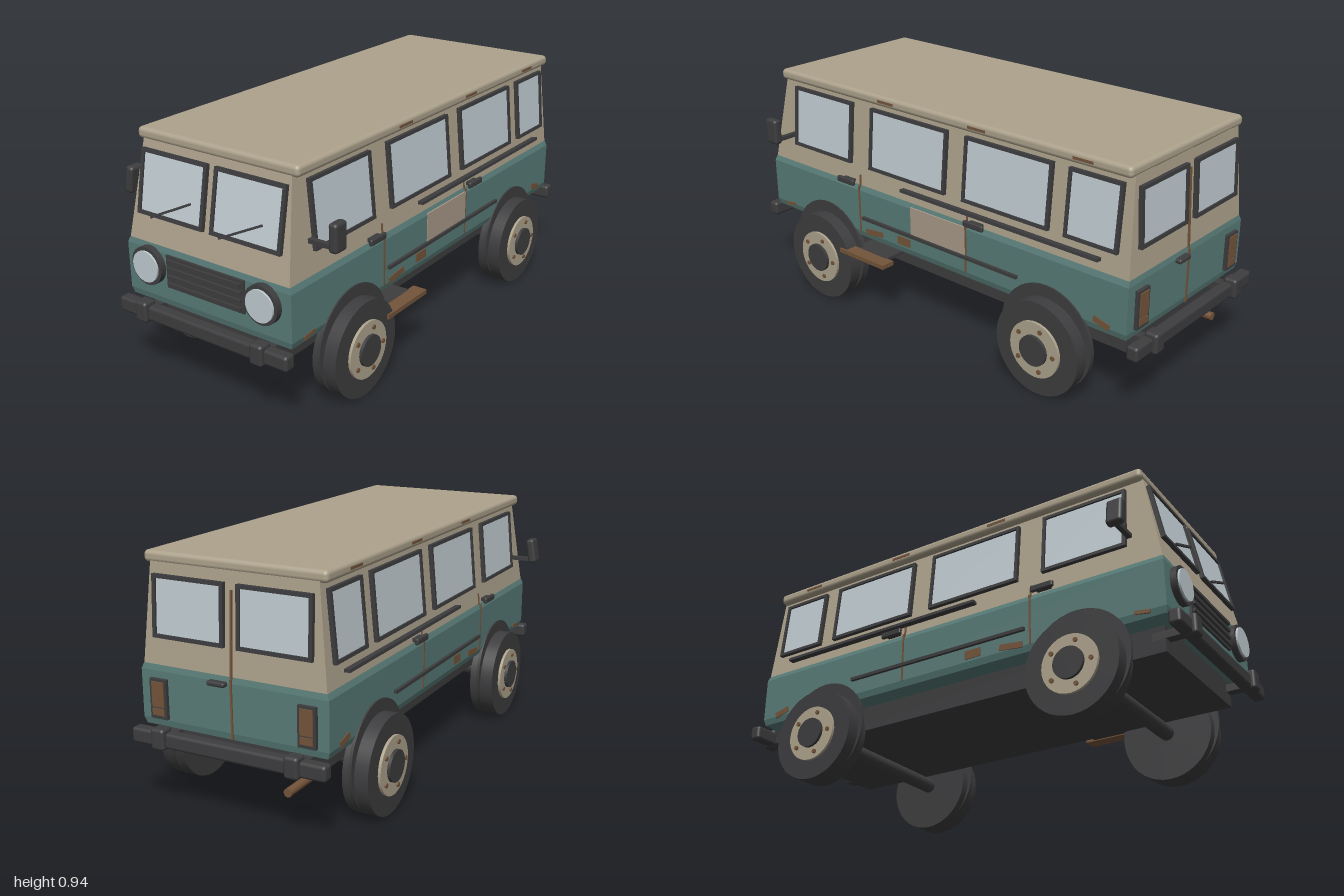
import * as THREE from 'three';
import { RoundedBoxGeometry } from 'three/addons/geometries/RoundedBoxGeometry.js';

const material = (name, color, extra = {}) => {
  const m = new THREE.MeshStandardMaterial({ color, ...extra });
  m.name = name;
  return m;
};

export function createModel() {
  const beige = material('beige paint', 0xada28c);
  const teal = material('teal paint', 0x587b77);
  const dark = material('dark rubber', 0x3d3d3f);
  const rust = material('rust brown', 0x74543a);
  const glass = material('pale glass', 0xc0cbd1);
  const primer = material('primer patch', 0xa89a88);

  const van = new THREE.Group();
  van.name = 'van';

  const add = (parent, name, geo, mat, x = 0, y = 0, z = 0) => {
    const mesh = new THREE.Mesh(geo, mat);
    mesh.name = name;
    mesh.position.set(x, y, z);
    parent.add(mesh);
    return mesh;
  };
  const box = (parent, name, mat, w, h, d, x, y, z) =>
    add(parent, name, new THREE.BoxGeometry(w, h, d), mat, x, y, z);
  const rounded = (parent, name, mat, w, h, d, x, y, z, r = 0.012) =>
    add(parent, name, new RoundedBoxGeometry(w, h, d, 2, r), mat, x, y, z);
  const group = (parent, name, x = 0, y = 0, z = 0, ry = 0, rx = 0) => {
    const g = new THREE.Group();
    g.name = name;
    g.position.set(x, y, z);
    g.rotation.set(rx, ry, 0);
    parent.add(g);
    return g;
  };
  // Cylinder lying along z
  const disc = (parent, name, mat, r, depth, x, y, z, sides = 32) => {
    const m = add(parent, name, new THREE.CylinderGeometry(r, r, depth, sides), mat, x, y, z);
    m.rotation.x = Math.PI / 2;
    return m;
  };

  // Closed hull through rectangles [y, back x, front x, half width]
  const hull = (sections) => {
    const pos = [], index = [];
    sections.forEach(([y, x0, x1, z]) => pos.push(x0, y, z, x1, y, z, x1, y, -z, x0, y, -z));
    const n = sections.length;
    for (let i = 0; i < n - 1; i++) {
      for (let j = 0; j < 4; j++) {
        const a = i * 4 + j, b = i * 4 + (j + 1) % 4;
        index.push(a, b, b + 4, a, b + 4, a + 4);
      }
    }
    const t = (n - 1) * 4;
    index.push(0, 2, 1, 0, 3, 2, t, t + 1, t + 2, t, t + 2, t + 3);
    const g = new THREE.BufferGeometry();
    g.setAttribute('position', new THREE.Float32BufferAttribute(pos, 3));
    g.setIndex(index);
    const flat = g.toNonIndexed();
    flat.computeVertexNormals();
    return flat;
  };

  // Window in the local xy plane: dark frame with a hole, pane inside
  const windowUnit = (parent, x, y, w, h, rim = 0.013) => {
    const rect = (Kind, a, b) => {
      const s = new Kind();
      s.moveTo(-a, -b);
      s.lineTo(a, -b);
      s.lineTo(a, b);
      s.lineTo(-a, b);
      s.closePath();
      return s;
    };
    const shape = rect(THREE.Shape, w / 2, h / 2);
    shape.holes.push(rect(THREE.Path, w / 2 - rim, h / 2 - rim));
    const geo = new THREE.ExtrudeGeometry(shape, { depth: 0.018, bevelEnabled: false });
    add(parent, 'windowFrame', geo, dark, x, y, -0.002);
    box(parent, 'windowPane', glass, w - rim, h - rim, 0.009, x, y, 0.0045);
  };

  // Body shell, roof and chassis
  add(van, 'lowerBody', hull([
    [0.32, -0.925, 0.92, 0.37], [0.345, -0.931, 0.926, 0.378],
    [0.525, -0.931, 0.926, 0.378], [0.546, -0.926, 0.921, 0.369],
  ]), teal);
  add(van, 'upperBody', hull([[0.54, -0.926, 0.921, 0.369], [0.91, -0.856, 0.902, 0.334]]), beige);
  rounded(van, 'roof', beige, 1.765, 0.043, 0.726, 0.022, 0.9245, 0, 0.016);
  box(van, 'chassis', dark, 1.755, 0.105, 0.58, -0.003, 0.2725, 0);

  // Both long sides; s = 1 is the +z side, and local z points outwards
  for (const s of [1, -1]) {
    const side = group(van, s > 0 ? 'leftSide' : 'rightSide', 0, 0, 0, s > 0 ? 0 : Math.PI);
    const wall = group(side, 'sideWall', 0, 0.54, 0.369, 0, -0.0943);
    for (const [a, b] of [[-0.789, -0.441], [-0.334, 0.078], [0.168, 0.575], [0.644, 0.869]])
      windowUnit(wall, s * (a + b) / 2, 0.215, b - a, 0.253);
    box(wall, 'slidingRail', dark, 0.947, 0.012, 0.024, s * 0.327, 0.05, 0.012);

    for (const x of [-0.392, 0.192]) {
      box(side, 'doorSeam', rust, 0.007, 0.2, 0.006, s * x, 0.445, 0.378);
      box(wall, 'upperDoorSeam', rust, 0.007, 0.05, 0.006, s * x, 0.025, 0.001);
    }
    for (const x of [-0.453, 0.243]) {
      rounded(side, 'doorHandle', dark, 0.096, 0.025, 0.016, s * x, 0.557, 0.392, 0.006);
      box(side, 'handleMount', dark, 0.06, 0.014, 0.03, s * x, 0.557, 0.376);
    }
    box(side, 'lowerTrim', dark, 0.817, 0.013, 0.014, s * 0.038, 0.41, 0.383);

    // Rust blotches: x, y, width, height, tilt
    for (const [x, y, w, h, a] of [[-0.84, 0.343, 0.06, 0.014, 0.15], [-0.31, 0.357, 0.1, 0.024, 0.12],
      [-0.14, 0.372, 0.07, 0.035, 0], [0.822, 0.357, 0.07, 0.024, -0.25]])
      box(side, 'rustSpot', rust, w, h, 0.006, s * x, y, 0.378).rotation.z = s * a;
    for (const x of [-0.235, 0.235, 0.71])
      box(side, 'roofRust', rust, 0.085, 0.01, 0.006, s * x, 0.924, 0.362);

    // Door mirror
    const mirror = group(side, 'doorMirror', s * -0.8, 0, 0);
    box(mirror, 'mirrorArm', dark, 0.02, 0.016, 0.13, 0, 0.67, 0.41);
    const head = rounded(mirror, 'mirrorHead', dark, 0.064, 0.106, 0.036, 0, 0.712, s > 0 ? 0.472 : 0.463, 0.012);
    head.rotation.x = s > 0 ? 0 : -0.16;

    // Wheels with backing discs, rims, hubs and nuts
    for (const x of [-0.588, 0.583]) {
      const wheel = group(side, 'wheel', s * x, 0.188, 0);
      disc(wheel, 'archDisc', dark, 0.206, 0.012, 0, 0.028, 0.378, 40);
      disc(wheel, 'tyre', dark, 0.186, 0.1, 0, 0, 0.387, 40);
      disc(wheel, 'rim', beige, 0.111, 0.02, 0, 0, 0.438);
      disc(wheel, 'hub', dark, 0.06, 0.03, 0, 0, 0.445);
      for (let i = 0; i < 5; i++) {
        const a = -Math.PI / 2 + 0.3 + i * Math.PI * 0.4;
        disc(wheel, 'wheelNut', rust, 0.009, 0.014, Math.cos(a) * 0.086, Math.sin(a) * 0.086, 0.447, 8);
      }
    }
  }
  for (const x of [-0.588, 0.583]) disc(van, 'axle', dark, 0.031, 0.7, x, 0.194, 0, 16);

  // Repair panel and step on the left side
  box(van, 'repairPanel', primer, 0.288, 0.118, 0.006, 0.046, 0.473, 0.378);
  box(van, 'sideStep', rust, 0.257, 0.018, 0.06, -0.328, 0.26, 0.415);
  box(van, 'stepBracket', dark, 0.18, 0.014, 0.12, -0.328, 0.262, 0.33);

  // Tail: local z points to +x
  const tail = group(van, 'tail', 0.926, 0, 0, Math.PI / 2);
  const tailWall = group(tail, 'tailWall', 0, 0.54, -0.005, 0, -0.0513);
  for (const s of [1, -1]) {
    windowUnit(tailWall, s * 0.172, 0.218, 0.292, 0.224, 0.014);
    box(tail, 'tailLightFrame', dark, 0.07, 0.147, 0.02, s * 0.3, 0.425, 0.004);
    box(tail, 'tailLight', rust, 0.05, 0.093, 0.01, s * 0.3, 0.443, 0.013);
    box(tail, 'reverseLight', rust, 0.05, 0.026, 0.01, s * 0.3, 0.378, 0.013);
  }
  box(tailWall, 'upperDoorGap', rust, 0.007, 0.305, 0.01, 0, 0.153, 0.002);
  box(tail, 'lowerDoorGap', rust, 0.007, 0.215, 0.008, 0, 0.432, 0.001);
  rounded(tail, 'tailHandle', dark, 0.072, 0.018, 0.03, -0.052, 0.52, 0.008, 0.007);
  disc(tail, 'exhaustPipe', rust, 0.016, 0.15, 0.216, 0.172, -0.073, 16);

  // Nose: local z points to -x
  const nose = group(van, 'nose', -0.931, 0, 0, -Math.PI / 2);
  const noseWall = group(nose, 'noseWall', 0, 0.54, -0.005, 0, -0.187);
  for (const s of [1, -1]) {
    windowUnit(noseWall, s * 0.172, 0.225, 0.31, 0.238, 0.014);
    const wiper = box(noseWall, 'wiper', dark, 0.2, 0.008, 0.008, s * 0.16, 0.15, 0.024);
    wiper.rotation.z = 0.45;
    disc(nose, 'headlightRing', dark, 0.073, 0.028, s * 0.265, 0.465, 0.01);
    disc(nose, 'headlight', glass, 0.06, 0.036, s * 0.265, 0.465, 0.014);
  }
  box(nose, 'grille', dark, 0.36, 0.125, 0.012, 0, 0.462, 0.003);
  for (let i = 0; i < 4; i++)
    box(nose, 'grilleBar', dark, 0.34, 0.012, 0.014, 0, 0.417 + i * 0.03, 0.012);

  // Bumpers with overriders
  for (const s of [1, -1]) {
    const bumper = group(van, s > 0 ? 'rearBumper' : 'frontBumper');
    rounded(bumper, 'bumperBar', dark, 0.048, 0.058, 0.786, s * 0.959, 0.291, 0);
    for (const z of [0.27, -0.27]) {
      rounded(bumper, 'overrider', dark, 0.056, 0.08, 0.056, s * 0.972, 0.297, z);
      box(bumper, 'bumperBracket', dark, 0.12, 0.03, 0.04, s * 0.89, 0.285, z);
    }
  }
  return van;
}
